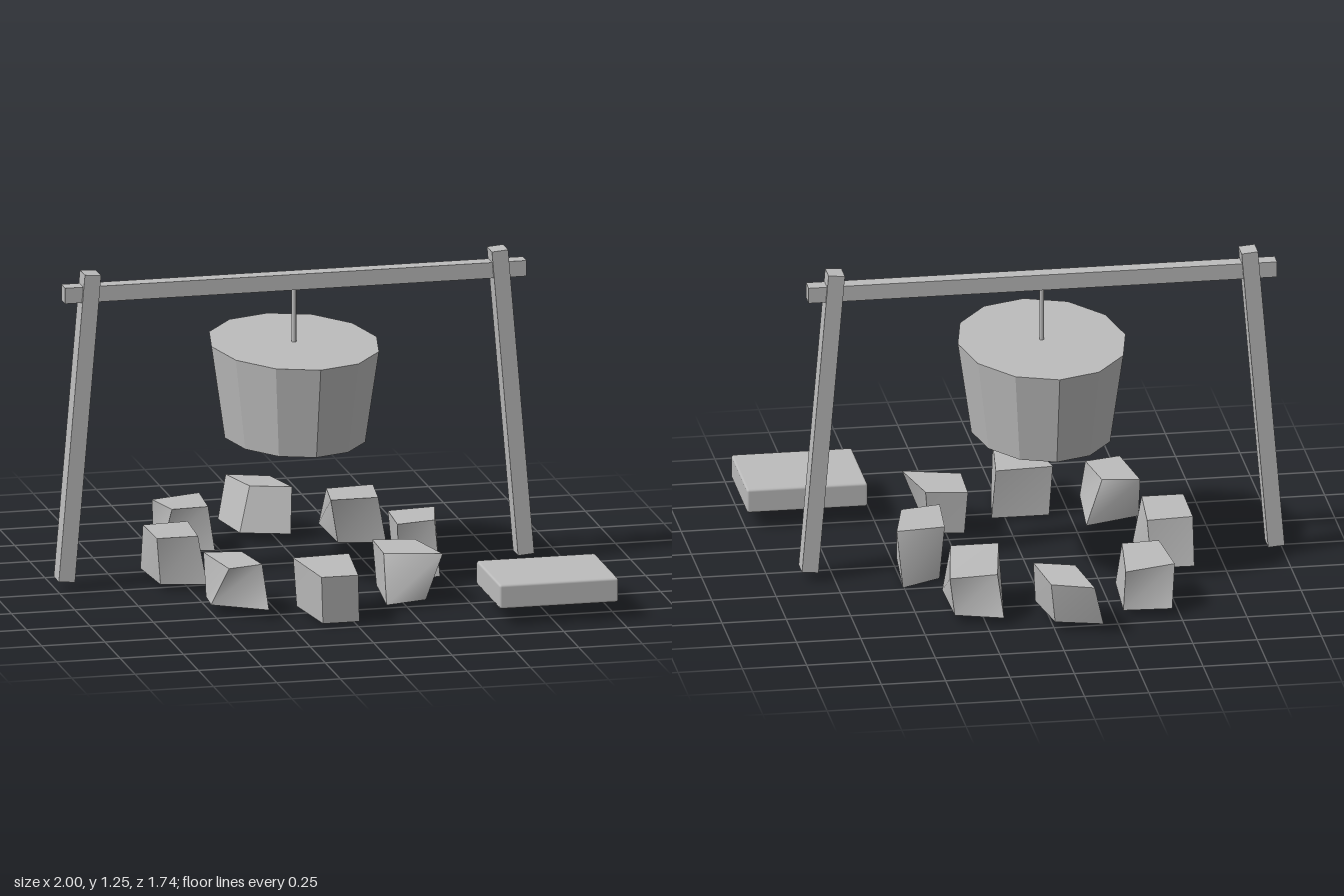
import * as THREE from 'three';
import { RoundedBoxGeometry } from 'three/addons/geometries/RoundedBoxGeometry.js';

const CX = -0.06, CZ = -0.07; // centre of the fire

export function createModel() {
  const model = new THREE.Group();
  model.name = 'campfireCookingSet';
  const grey = new THREE.MeshStandardMaterial({ color: 0xbcbcbc });
  grey.name = 'stone grey';

  function add(name, geometry, x, y, z) {
    const mesh = new THREE.Mesh(geometry, grey);
    mesh.name = name;
    mesh.position.set(x, y, z);
    model.add(mesh);
    return mesh;
  }

  // Rough stone: a box whose corners are moved. Each quad runs
  // back left, back right, front right, front left as x, z pairs.
  function addStone(name, top, bottom, [y0, yBack, yFront]) {
    const geometry = new THREE.BoxGeometry(1, 1, 1);
    const p = geometry.attributes.position;
    for (let i = 0; i < p.count; i++) {
      const right = p.getX(i) > 0, up = p.getY(i) > 0, front = p.getZ(i) > 0;
      const corner = front ? (right ? 2 : 3) : (right ? 1 : 0);
      const quad = up ? top : bottom;
      const y = up ? (front ? yFront : yBack) : y0;
      p.setXYZ(i, quad[corner * 2], y, quad[corner * 2 + 1]);
    }
    geometry.computeVertexNormals();
    add(name, geometry, 0, 0, 0);
  }

  // Cross bar and two leaning posts
  add('crossBar', new THREE.BoxGeometry(1.82, 0.062, 0.062), CX, 1.169, CZ);
  for (const side of [-1, 1]) {
    const post = add(side < 0 ? 'rightPost' : 'leftPost',
      new THREE.BoxGeometry(0.064, 1.215, 0.084), CX + side * 0.854, 0.642, CZ);
    post.rotation.z = side * 0.085;
  }

  // Oval twelve-sided pot on a thin hanger
  const potGeometry = new THREE.CylinderGeometry(0.445, 0.373, 0.365, 12).toNonIndexed();
  potGeometry.scale(0.732, 1, 1);
  potGeometry.computeVertexNormals();
  add('pot', potGeometry, CX, 0.743, CZ);
  add('hanger', new THREE.CylinderGeometry(0.009, 0.009, 0.23, 8), CX, 1.035, CZ);

  // Flat seat slab with narrow bevels
  add('seatSlab', new RoundedBoxGeometry(0.47, 0.096, 0.392, 1, 0.01), 0.763, 0.115, 0.673);

  // Ring of stones
  addStone('backStone',
    [-0.14, -0.87, 0.02, -0.81, 0.055, -0.59, -0.10, -0.64],
    [-0.18, -0.83, 0.00, -0.78, 0.04, -0.545, -0.147, -0.605], [0.035, 0.2, 0.21]);
  addStone('backRightStone',
    [-0.49, -0.62, -0.29, -0.68, -0.318, -0.41, -0.463, -0.40],
    [-0.468, -0.695, -0.28, -0.685, -0.297, -0.385, -0.495, -0.44], [0.03, 0.185, 0.2]);
  addStone('backLeftStone',
    [0.20, -0.63, 0.388, -0.647, 0.34, -0.358, 0.153, -0.358],
    [0.185, -0.695, 0.367, -0.636, 0.372, -0.358, 0.19, -0.395], [0.03, 0.185, 0.21]);
  addStone('rightStone',
    [-0.63, -0.18, -0.45, -0.195, -0.468, 0.053, -0.63, 0.053],
    [-0.628, -0.23, -0.463, -0.225, -0.436, 0.07, -0.61, 0.03], [0.02, 0.205, 0.21]);
  addStone('leftStone',
    [0.33, -0.155, 0.52, -0.176, 0.468, 0.043, 0.313, 0.075],
    [0.35, -0.155, 0.505, -0.235, 0.479, 0.085, 0.323, 0.064], [0.0, 0.21, 0.215]);
  addStone('frontRightStone',
    [-0.495, 0.257, -0.35, 0.278, -0.318, 0.487, -0.457, 0.524],
    [-0.495, 0.30, -0.28, 0.225, -0.307, 0.556, -0.505, 0.428], [0.035, 0.2, 0.2]);
  addStone('frontLeftStone',
    [0.18, 0.22, 0.34, 0.25, 0.393, 0.492, 0.174, 0.433],
    [0.19, 0.245, 0.324, 0.273, 0.324, 0.503, 0.158, 0.55], [0.025, 0.2, 0.2]);
  addStone('frontStone',
    [-0.184, 0.438, 0.04, 0.422, 0.003, 0.733, -0.142, 0.733],
    [-0.168, 0.428, 0.056, 0.428, 0.013, 0.71, -0.131, 0.71], [0.01, 0.205, 0.2]);

  return model;
}
